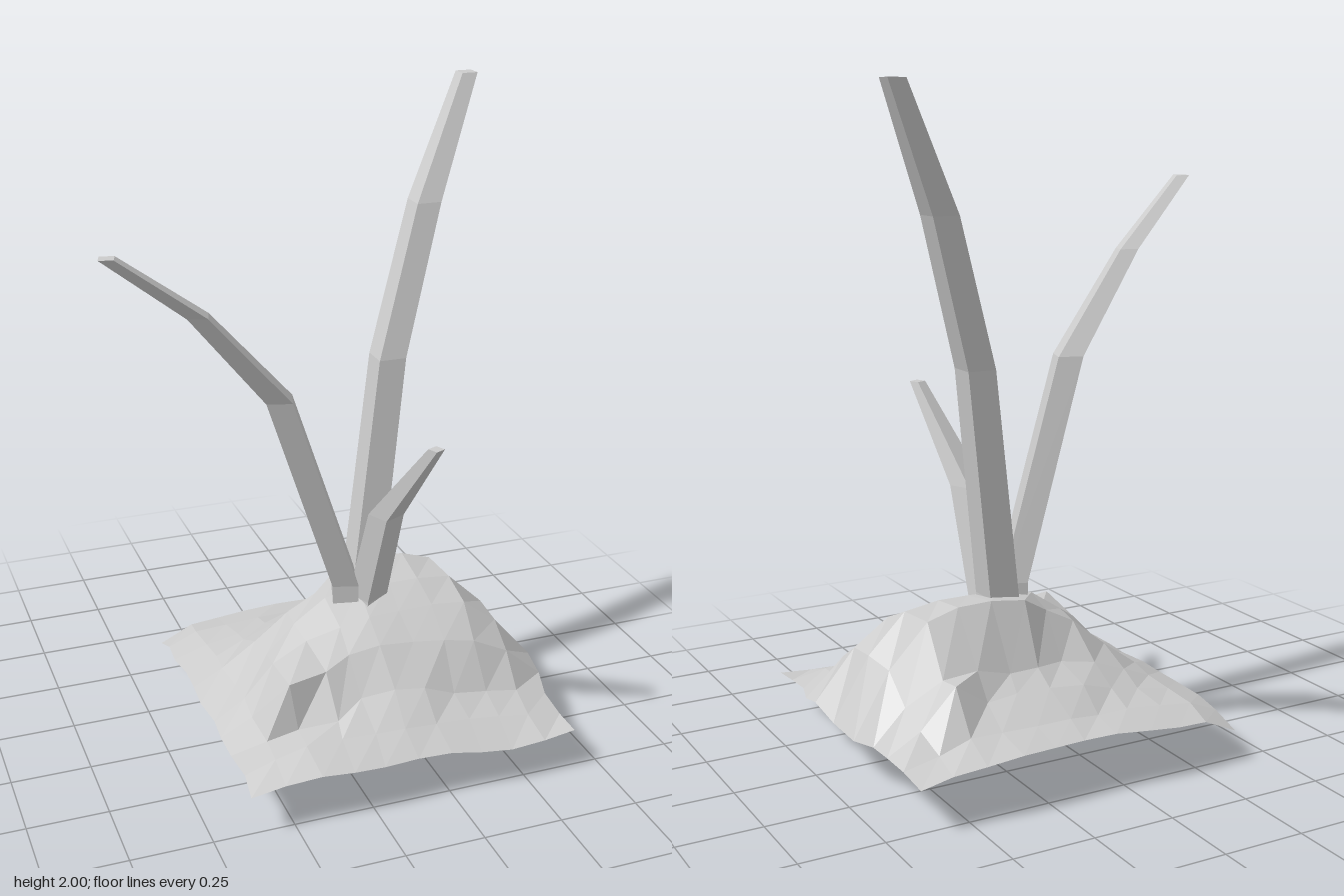
import * as THREE from 'three';

const material = new THREE.MeshStandardMaterial({ color: 0xcccccc, flatShading: true, side: THREE.DoubleSide });

// Ground heights: one row per z (back to front), one column per x
const heights = [
  [.095, .145, .15, .16, .17, .17, .17, .17, .16, .15, .13],
  [.13, .17, .18, .19, .19, .20, .20, .20, .20, .17, .15],
  [.14, .18, .20, .22, .25, .26, .26, .25, .32, .21, .15],
  [.15, .19, .23, .27, .29, .30, .30, .33, .32, .24, .14],
  [.15, .20, .28, .37, .42, .48, .495, .49, .46, .32, .13],
  [.15, .20, .29, .38, .45, .47, .47, .47, .455, .34, .15],
  [.15, .21, .31, .37, .40, .42, .42, .42, .41, .33, .18],
  [.15, .20, .34, .34, .36, .37, .36, .35, .33, .27, .16],
  [.15, .18, .20, .22, .26, .27, .26, .22, .20, .18, .15],
  [.15, .18, .20, .20, .20, .20, .19, .18, .17, .16, .14],
  [.135, .15, .16, .155, .15, .15, .145, .13, .12, .125, .135],
];

function createMound() {
  const n = heights.length;
  const geometry = new THREE.PlaneGeometry(1.04, 1.04, n - 1, n - 1).rotateX(-Math.PI / 2);
  const p = geometry.attributes.position;
  for (let row = 0; row < n; row++) {
    for (let col = 0; col < n; col++) {
      const i = row * n + col, z = p.getZ(i);
      // right-hand edge bulges outward; the grid is slightly irregular
      const bulge = .05 * (col / (n - 1)) ** 6 * Math.exp(-(((z - .1) / .17) ** 2));
      const wobble = .006 * Math.sin(row * 2.3 + col * 1.7);
      // the summit ends in a steep drop towards the back
      const cliff = col > 4 && col < 9 && (row === 3 || row === 4) ? -.04 : 0;
      p.setXYZ(i, p.getX(i) + .137 + bulge + wobble, heights[row][col],
        z + cliff + .006 * Math.cos(col * 1.3 + row * 2.1));
    }
  }
  // ledge at the front whose lip juts forward over its foot
  p.setXYZ(7 * n + 2, -.19, .34, .285);
  p.setXYZ(7 * n + 3, -.06, .34, .25);
  p.setXYZ(8 * n + 3, -.055, .22, .345);
  geometry.computeVertexNormals();
  const mesh = new THREE.Mesh(geometry, material);
  mesh.name = 'groundMound';
  return mesh;
}

// Four-sided stem through rings of [x, y, z, half width]
function createStem(name, rings, turn) {
  const n = rings.length - 1;
  const geometry = new THREE.CylinderGeometry(Math.SQRT2, Math.SQRT2, 1, 4, n, false, Math.PI / 4 + turn);
  const p = geometry.attributes.position;
  for (let i = 0; i < p.count; i++) {
    const [x, y, z, w] = rings[Math.round((p.getY(i) + .5) * n)];
    p.setXYZ(i, x + p.getX(i) * w, y, z + p.getZ(i) * w);
  }
  geometry.computeVertexNormals();
  const mesh = new THREE.Mesh(geometry, material);
  mesh.name = name;
  return mesh;
}

export function createModel() {
  const group = new THREE.Group();
  group.name = 'stemsOnMound';
  group.add(
    createMound(),
    createStem('tallStem', [
      [.155, 0, -.052, .045], [.172, .48, -.05, .048], [.287, 1.19, -.14, .044],
      [.455, 1.64, -.267, .04], [.658, 2, -.424, .026]], 0),
    createStem('middleStem', [
      [.1, 0, -.005, .037], [.097, .5, -.005, .041], [-.138, 1.17, .06, .039],
      [-.4, 1.48, .14, .029], [-.672, 1.7, .243, .021]], -.3),
    createStem('shortStem', [
      [.15, 0, 0, .036], [.168, .45, .015, .043], [.177, .78, .133, .038],
      [.237, 1.075, .357, .017]], .42),
  );
  return group;
}
